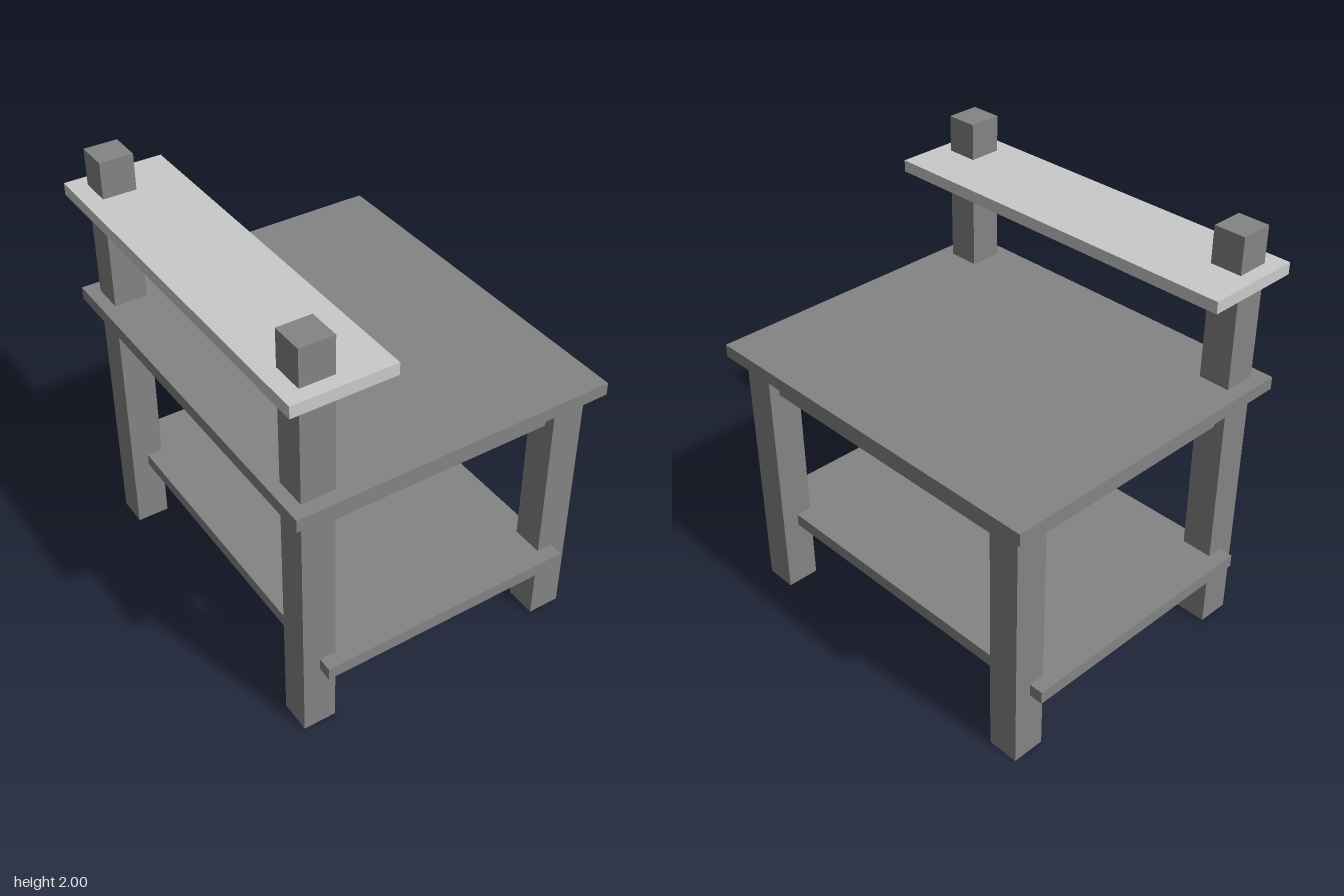
import * as THREE from 'three';

export function createModel() {
  const model = new THREE.Group();
  model.name = 'workbench';
  const frameGrey = new THREE.MeshStandardMaterial({ color: 0x848484 });
  frameGrey.name = 'frame grey';
  const shelfGrey = new THREE.MeshStandardMaterial({ color: 0xcacaca });
  shelfGrey.name = 'pale shelf grey';

  // Box given by its limits on each axis
  function slab(name, [x0, x1], [y0, y1], [z0, z1], material = frameGrey) {
    const mesh = new THREE.Mesh(new THREE.BoxGeometry(x1 - x0, y1 - y0, z1 - z0), material);
    mesh.position.set((x0 + x1) / 2, (y0 + y1) / 2, (z0 + z1) / 2);
    mesh.name = name;
    model.add(mesh);
  }

  const post = [-0.685, -0.53], leg = [0.55, 0.705];
  const inner = 0.695, outer = 0.845, end = 0.912;
  const apronY = [1.08, 1.23];

  // Tall posts, short legs and side aprons, mirrored in z
  for (const s of [-1, 1]) {
    const span = (a, b) => (s > 0 ? [a, b] : [-b, -a]);
    slab('tallPost', post, [0, 2], span(inner, outer));
    slab('shortLeg', leg, [0, 1.23], span(inner, outer));
    slab('sideApron', [post[1], leg[0]], apronY, span(0.745, 0.795));
  }

  // Long aprons and the rail that carries the hooks
  slab('longApron', [0.605, 0.655], apronY, [-inner, inner]);
  slab('longApron', [-0.635, -0.585], apronY, [-inner, inner]);
  slab('hookRail', [-0.58, -0.53], [1.62, 1.775], [-inner, inner]);

  // Horizontal boards
  slab('tabletop', [-0.745, 0.762], [1.23, 1.29], [-end, end]);
  slab('lowerShelf', [-0.605, 0.625], [0.33, 0.39], [-end, end]);
  slab('upperShelf', [-0.765, -0.302], [1.775, 1.83], [-end, end], shelfGrey);

  // Small hooks with a rounded inside corner
  const profile = new THREE.Shape();
  profile.moveTo(-0.53, 1.69);
  profile.lineTo(-0.504, 1.69);
  profile.lineTo(-0.504, 1.698);
  profile.quadraticCurveTo(-0.502, 1.72, -0.478, 1.721);
  profile.lineTo(-0.438, 1.721);
  profile.lineTo(-0.428, 1.73);
  profile.lineTo(-0.428, 1.775);
  profile.lineTo(-0.53, 1.775);
  profile.closePath();
  const width = 0.032;
  const hookGeometry = new THREE.ExtrudeGeometry(profile, { depth: width, bevelEnabled: false, curveSegments: 6 });
  for (let i = 0; i < 4; i++) {
    const hook = new THREE.Mesh(hookGeometry, frameGrey);
    hook.position.z = 0.403 - i * 0.275 - width / 2;
    hook.name = 'hook';
    model.add(hook);
  }
  return model;
}
